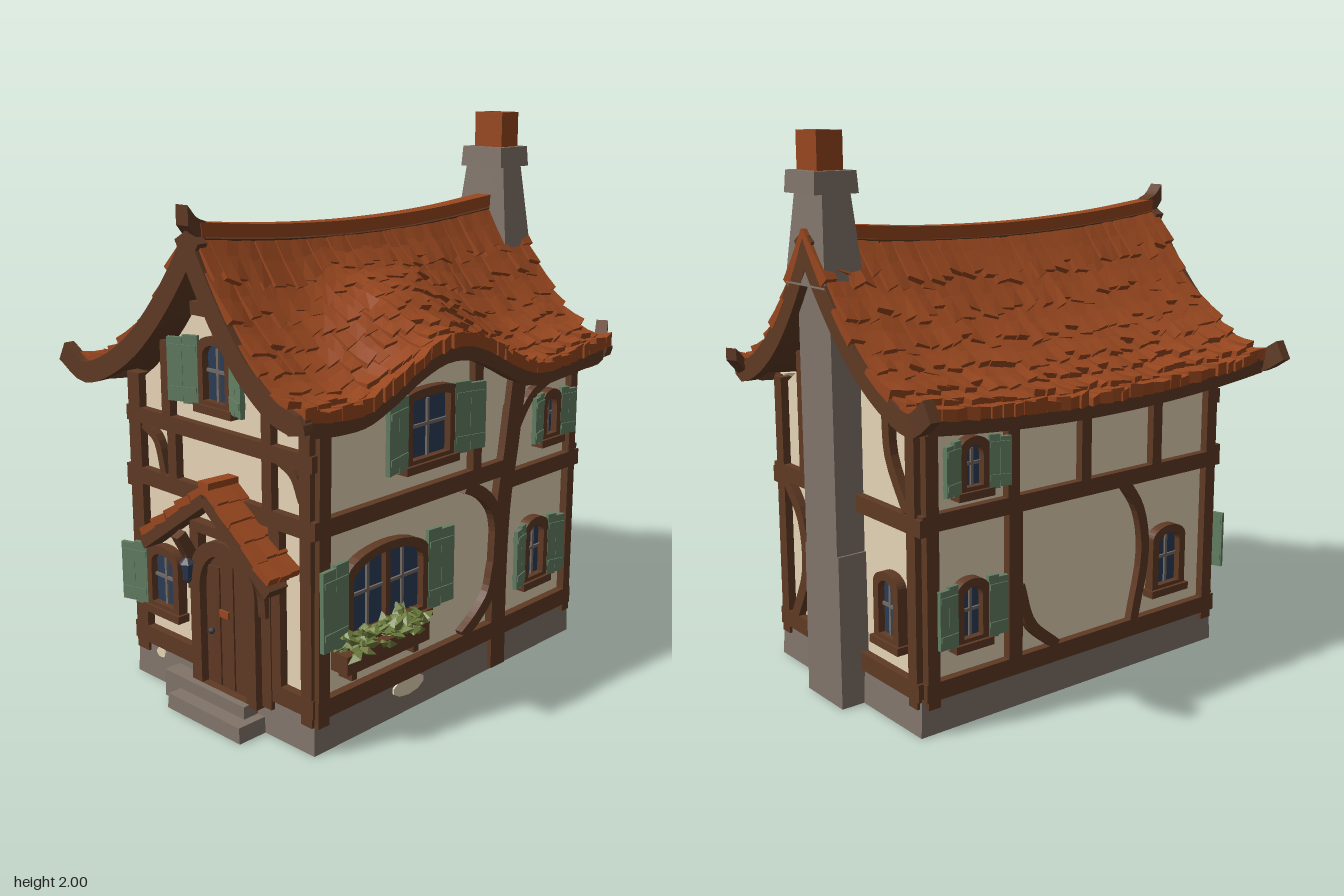
import * as THREE from 'three';
import { mergeGeometries } from 'three/addons/utils/BufferGeometryUtils.js';

const mat = (name, color) => { const m = new THREE.MeshStandardMaterial({ color }); m.name = name; return m; };
const M = {
  tile: mat('clay tile', 0x98471f), wood: mat('timber', 0x5f3a24), plaster: mat('plaster', 0xe6d5b6),
  stone: mat('stone', 0x81746a), green: mat('shutter green', 0x637f63), glass: mat('window glass', 0x2b3c57),
  bar: mat('glazing bar', 0x736a64), leaf: mat('leaves', 0x70803f), door: mat('door wood', 0x5f3824), iron: mat('iron', 0x3a3d46),
};
const V = (x, y, z = 0) => new THREE.Vector3(x, y, z);

let seed = 7;
const rnd = () => (seed = (seed * 16807) % 2147483647) / 2147483647;
const jit = (a) => (rnd() - 0.5) * 2 * a;

// faceted normals
function flat(g) {
  const f = g.index ? g.toNonIndexed() : g;
  f.computeVertexNormals();
  return f;
}
function add(parent, name, geo, material, x = 0, y = 0, z = 0) {
  const m = new THREE.Mesh(geo, material);
  m.name = name;
  m.position.set(x, y, z);
  parent.add(m);
  return m;
}
// move every vertex of a geometry by a rule
function bend(g, rule) {
  const p = g.attributes.position;
  for (let i = 0; i < p.count; i++) {
    const v = rule(p.getX(i), p.getY(i), p.getZ(i));
    p.setXYZ(i, v.x, v.y, v.z);
  }
  return flat(g);
}
// rectangular bar swept along a path; w across the path, d along "out"
function sweep(pts, w, d, out = V(0, 0, 1)) {
  const n = pts.length === 2 ? 1 : pts.length * 3;
  const curve = pts.length === 2 ? new THREE.LineCurve3(...pts) : new THREE.CatmullRomCurve3(pts);
  return bend(new THREE.BoxGeometry(1, 1, 1, 1, 1, n), (a, b, c) => {
    const u = c + 0.5, T = curve.getTangent(u);
    const side = out.clone().cross(T).normalize();
    return curve.getPoint(u).addScaledVector(side, a * w).addScaledVector(out, b * d);
  });
}
// block standing on y, narrowing to its top
const block = (w, h, d, taper = 1) => bend(new THREE.BoxGeometry(w, h, d), (x, y, z) => {
  const k = y > 0 ? taper : 1;
  return V(x * k, y + h / 2, z * k);
});
// arched opening outline standing on y0
function arch(w, h, rise, y0 = 0, Kind = THREE.Shape) {
  const s = new Kind();
  s.moveTo(-w / 2, y0);
  s.lineTo(w / 2, y0);
  s.lineTo(w / 2, y0 + h - rise);
  s.absellipse(0, y0 + h - rise, w / 2, rise, 0, Math.PI, false);
  s.closePath();
  return s;
}
const extrude = (s, depth) => flat(new THREE.ExtrudeGeometry(s, { depth, bevelEnabled: false, curveSegments: 8 }));
function archRing(w, h, rise, t, depth, foot = t) {
  const s = arch(w, h, rise);
  s.holes.push(arch(w - 2 * t, h - t - foot, Math.max(0.005, rise - t * 0.3), foot, THREE.Path));
  return extrude(s, depth);
}

// roof surface: side s, position z, t from ridge (0) to eave (1), lifted along the normal
const RX = 0.09, ZC = 0.02, ZL = 1.6;
const span = (s) => (s > 0 ? 0.515 : 0.64);
const drop = (t) => 0.52 * (1 - Math.pow(Math.max(0, 1 - t), 1.9)) + Math.max(0, t - 1) * 0.1;
const ridgeY = (z) => 1.628 + 0.05 * (z / 0.8) ** 2;
function roofAt(s, z, t, lift = 0) {
  const dz = Math.min(1, Math.abs(z - 0.12) / 0.52);
  const bump = s > 0 ? 0.18 * Math.cos(dz * Math.PI / 2) ** 2 * THREE.MathUtils.smoothstep(t, 0, 0.6) : 0;
  const nx = s * Math.pow(Math.max(0, 1 - t), 0.9), ny = span(s), l = Math.hypot(nx, ny);
  return V(RX + s * span(s) * t + nx / l * lift, ridgeY(z) - drop(t) + bump + ny / l * lift, z);
}
function buildRoof(root) {
  const roof = new THREE.Group(); roof.name = 'roof'; root.add(roof);
  const tiles = [], ROWS = 7, COLS = 34;
  for (const s of [1, -1]) {
    const deck = new THREE.BoxGeometry(1, 1, 1, 24, 12, 1);
    add(roof, 'roofDeck', bend(deck, (a, b, c) => roofAt(s, ZC + s * a * ZL, b + 0.5, c > 0 ? 0 : -0.04)), M.wood);
    for (let r = 0; r < ROWS; r++) for (let k = 0; k < COLS; k++) {
      const t0 = r / ROWS, t1 = Math.min(1.02, (r + 1.3) / ROWS + jit(0.04)), w = ZL / COLS;
      const zc = ZC + (k + 0.5 - COLS / 2) * w + (r % 2 ? 0.006 : -0.006) + jit(0.006);
      const up = 0.012 + rnd() * 0.02, skew = jit(0.03), tilt = jit(0.008);
      // two segments so each long shingle follows the curve
      tiles.push(bend(new THREE.BoxGeometry(1, 1, 1, 1, 2, 1), (a, b, c) =>
        roofAt(s, zc + s * a * w * 1.04, t0 + (b + 0.5) * (t1 - t0 + a * skew), c > 0 ? 0.01 + (up + a * tilt) * (b + 0.5) : -0.01)));
    }
    // bargeboards on both gables, with upturned tips
    for (const z of [0.815, -0.765]) {
      const pts = [0, 0.15, 0.35, 0.55, 0.78, 0.95].map((t) => roofAt(s, z, t, -0.03));
      pts.push(s < 0 ? V(-0.62, 1.19, z * 1.01) : V(0.58, z > 0 ? 1.11 : 1.15, z));
      add(roof, 'bargeboard', sweep(pts, 0.075, 0.04), M.wood);
    }
    // eave trim following the wavy edge
    const edge = [];
    for (let i = 0; i <= 12; i++) edge.push(roofAt(s, 0.8 - i * 0.128, 0.96, -0.04));
    if (s > 0) edge.push(V(0.53, 1.2, -0.84));
    add(roof, 'eaveTrim', sweep(edge, 0.045, 0.045, V(0, 1, 0)), M.wood);
  }
  add(roof, 'shingles', mergeGeometries(tiles), M.tile);
  const line = [0.8, 0.5, 0.1, -0.3, -0.65].map((z) => V(RX, ridgeY(z) + 0.005, z));
  add(roof, 'ridgeCap', sweep(line, 0.065, 0.045, V(0, 1, 0)), M.tile);
  add(roof, 'ridgeHorn', sweep([V(RX, 1.675, 0.78), V(RX, 1.69, 0.815), V(RX, 1.73, 0.85)], 0.06, 0.065, V(0, 1, 0)), M.wood);
}

// window on a wall group: x centre, y bottom, w by h outer size
function addWindow(wall, x, y, w, h, { rise = 0.05, panes = 1, sw = 0.1, sides = [-1, 1], open = 0.25 } = {}) {
  const g = new THREE.Group(); g.name = 'window'; g.position.set(x, y, 0); wall.add(g);
  const t = 0.03, iw = w - 2 * t, ih = h - 2 * t;
  add(g, 'windowFrame', archRing(w, h, rise, t, 0.038), M.wood);
  add(g, 'windowGlass', flat(new THREE.ShapeGeometry(arch(iw, ih, Math.max(0.005, rise - 0.01), t), 8)), M.glass, 0, 0, 0.012);
  for (let i = 0; i < panes; i++) {
    const px = (i + 0.5 - panes / 2) * iw / panes;
    add(g, 'glazingBar', block(0.011, ih - 0.012, 0.008), M.bar, px, t, 0.017);
    if (i) add(g, 'mullion', block(0.022, ih, 0.02), M.wood, px - iw / panes / 2, t, 0.022);
  }
  add(g, 'glazingBar', block(iw, 0.011, 0.008), M.bar, 0, h * 0.5, 0.017);
  add(g, 'windowSill', block(w + 0.02, 0.028, 0.05), M.wood, 0, -0.012, 0.025);
  for (const s of sides) {
    const hinge = new THREE.Group(); hinge.name = 'shutter';
    hinge.position.set(s * (w / 2 - 0.005), 0, 0.032); hinge.rotation.y = -s * open; g.add(hinge);
    for (let i = 0; i < 2; i++) add(hinge, 'shutterBoard', block(sw * 0.49, h * 0.93 - i * 0.015, 0.016), M.green, s * sw * (0.25 + i * 0.5), 0.01 + i * 0.006, 0);
    for (const f of [0.18, 0.75]) add(hinge, 'shutterBatten', block(sw * 0.9, 0.022, 0.024), M.green, s * sw / 2, h * f, 0);
  }
}
// wall group: local x runs rightward seen from outside, z points out
function makeWall(root, name, x, z, turn, timbers) {
  const g = new THREE.Group(); g.name = name; g.position.set(x, 0, z); g.rotation.y = turn; root.add(g);
  const geos = timbers.map(([w, ...p]) => sweep(p.map(([a, b]) => V(a, b, 0.008)), w, 0.045));
  add(g, name + 'Timbers', mergeGeometries(geos), M.wood);
  return g;
}

function buildPorch(front) {
  const p = new THREE.Group(); p.name = 'porch'; front.add(p);
  add(p, 'doorSurround', archRing(0.33, 0.55, 0.15, 0.05, 0.06, 0.01), M.wood, 0.14, 0.09, 0);
  add(p, 'doorLeaf', extrude(arch(0.23, 0.49, 0.11), 0.03), M.door, 0.14, 0.1, 0);
  for (const x of [0.07, 0.14, 0.21]) add(p, 'doorPlank', block(0.06, x === 0.14 ? 0.47 : 0.43, 0.008), M.door, x, 0.105, 0.032);
  add(p, 'doorPlate', block(0.045, 0.025, 0.008), M.tile, 0.13, 0.365, 0.041);
  add(p, 'doorHandle', new THREE.SphereGeometry(0.012, 8, 6), M.iron, 0.065, 0.3, 0.045);
  add(p, 'lowerStep', block(0.38, 0.055, 0.14, 0.97), M.stone, 0.12, 0, 0.07);
  add(p, 'upperStep', block(0.42, 0.1, 0.09), M.stone, 0.06, 0, 0.04);
  const apex = V(0.145, 0.845, 0.06), tiles = [];
  for (const end of [V(0.45, 0.6, 0.06), V(-0.19, 0.61, 0.06)]) {
    for (let i = 0; i < 5; i++) for (let k = 0; k < 3; k++) {
      const a = apex.clone().lerp(end, i / 5), b = apex.clone().lerp(end, (i + 1.15) / 5);
      b.y += 0.012 + jit(0.006);
      a.z = b.z = 0.02 + k * 0.045 + jit(0.004);
      tiles.push(sweep([a, b], 0.028, 0.045));
    }
    const low = V(0, -0.035, 0.035);
    add(p, 'porchRafter', sweep([apex.clone().add(low), end.clone().add(low)], 0.04, 0.08), M.wood);
  }
  tiles.push(sweep([V(0.145, 0.85, -0.01), V(0.145, 0.855, 0.13)], 0.05, 0.03, V(0, 1, 0)));
  add(p, 'porchTiles', mergeGeometries(tiles), M.tile);
  add(p, 'porchCollar', sweep([V(0.02, 0.685, 0.07), V(0.27, 0.685, 0.07)], 0.035, 0.04), M.wood);
  for (const x of [-0.03, 0.33]) {
    add(p, 'porchPost', block(0.045, 0.56, 0.04), M.wood, x, 0.1, 0.015);
    add(p, 'porchBracket', sweep([V(x, 0.43, 0.03), V(x, 0.52, 0.04), V(x, 0.64, 0.1)], 0.04, 0.035, V(1, 0, 0)), M.wood);
  }
  // hanging lantern
  add(p, 'lanternArm', block(0.01, 0.05, 0.01), M.iron, -0.02, 0.55, 0.075);
  add(p, 'lanternCap', flat(new THREE.ConeGeometry(0.03, 0.025, 6)), M.iron, -0.02, 0.545, 0.075);
  add(p, 'lanternGlass', flat(new THREE.CylinderGeometry(0.022, 0.015, 0.055, 6)), M.glass, -0.02, 0.505, 0.075);
  add(p, 'lanternBase', flat(new THREE.CylinderGeometry(0.017, 0.01, 0.015, 6)), M.iron, -0.02, 0.47, 0.075);
}

export function createModel() {
  const root = new THREE.Group(); root.name = 'cottage';
  // plastered body with curved gables
  const body = new THREE.Shape();
  body.moveTo(-0.37, 0.05); body.lineTo(0.53, 0.05);
  for (let i = 8; i >= -8; i--) {
    const s = i > 0 ? 1 : -1, t = Math.abs(i) / 8 * (s > 0 ? 0.854 : 0.719);
    body.lineTo(RX + s * span(s) * t, 1.57 - drop(t));
  }
  body.closePath();
  add(root, 'plasterWalls', extrude(body, 1.35), M.plaster, 0, 0, -0.64);
  add(root, 'foundation', block(0.93, 0.135, 1.4, 0.99), M.stone, 0.08, 0, 0.035);

  const front = makeWall(root, 'frontWall', 0, 0.71, 0, [
    [0.065, [-0.345, 0.1], [-0.345, 1.14]], [0.05, [0.515, 0.1], [0.515, 1.1]],
    [0.055, [-0.39, 0.99], [0.55, 0.99]], [0.06, [-0.4, 0.77], [0.55, 0.77]], [0.065, [-0.38, 0.165], [0.545, 0.165]],
    [0.045, [-0.02, 1.41], [0.2, 1.41]], [0.04, [0.1, 1.41], [0.1, 1.6]],
    [0.045, [-0.165, 1], [-0.165, 1.28]], [0.045, [0.34, 1], [0.34, 1.24]],
    [0.045, [-0.14, 0.78], [-0.14, 0.98]], [0.045, [0.34, 0.78], [0.34, 0.98]], [0.05, [0.37, 0.17], [0.37, 0.76]],
    [0.03, [-0.3, 0.96], [-0.23, 0.92], [-0.19, 0.8]], [0.03, [0.38, 0.98], [0.46, 0.94], [0.5, 0.86]],
    [0.04, [-0.37, 0.5], [-0.26, 0.56], [-0.12, 0.65]],
  ]);
  addWindow(front, 0.1, 1.08, 0.17, 0.25, { sw: 0.115, open: 0.4 });
  addWindow(front, -0.21, 0.28, 0.18, 0.25, { sides: [-1], sw: 0.11, open: 0.3 });
  buildPorch(front);

  const right = makeWall(root, 'rightWall', 0.53, 0, Math.PI / 2, [
    [0.05, [-0.705, 0.1], [-0.69, 1.13]], [0.04, [0.625, 0.1], [0.625, 1.1]], [0.065, [-0.73, 0.16], [0.65, 0.16]],
    [0.06, [-0.74, 0.775], [0.25, 0.775]], [0.06, [0.2, 0.72], [0.67, 0.72]],
    [0.08, [0.2, 0.01], [0.2, 0.4], [0.215, 0.65], [0.25, 0.85], [0.29, 1.12]],
    [0.045, [0.0, 0.75], [0.1, 0.7], [0.17, 0.62], [0.195, 0.5]], [0.045, [0.18, 0.42], [0.15, 0.31], [0.08, 0.24], [0, 0.19]],
    [0.045, [0.055, 0.79], [0.055, 1.2]], [0.035, [0.27, 0.9], [0.36, 1.01], [0.52, 1.08]], [0.045, [0.27, 1.08], [0.65, 1.08]],
  ]);
  // wall rising under the lifted eave
  const lift = new THREE.Shape();
  lift.moveTo(-0.7, 1); lift.lineTo(0.64, 1);
  for (let i = 0; i <= 20; i++) { const x = 0.64 - i * 0.067; lift.lineTo(x, roofAt(1, -x, 0.854).y - 0.045); }
  add(right, 'liftedWall', extrude(lift, 0.03), M.plaster, 0, 0, -0.026);
  addWindow(right, -0.2, 0.88, 0.25, 0.27, { rise: 0.02, sw: 0.13 });
  addWindow(right, -0.405, 0.35, 0.4, 0.31, { rise: 0.08, panes: 2, sw: 0.125, open: 0.08 });
  addWindow(right, 0.48, 0.82, 0.12, 0.2, { sw: 0.075 });
  addWindow(right, 0.41, 0.28, 0.15, 0.26, { sw: 0.08 });
  // bare patches of render on the footing
  const patch = flat(new THREE.CylinderGeometry(1, 1, 0.008, 10).rotateX(Math.PI / 2));
  add(right, 'renderPatch', patch, M.plaster, -0.28, 0.095, 0.014).scale.set(0.08, 0.035, 1);
  add(front, 'renderPatch', patch, M.plaster, -0.25, 0.11, 0.021).scale.set(0.025, 0.018, 1);
  // flower box
  const box = new THREE.Group(); box.name = 'flowerBox'; box.position.set(-0.455, 0.27, 0.05); right.add(box);
  add(box, 'boxTrough', block(0.4, 0.065, 0.075), M.wood, 0, 0.01, 0);
  for (const x of [-0.15, 0.15]) add(box, 'boxBracket', block(0.025, 0.05, 0.06), M.wood, x, -0.025, -0.01);
  const leaves = [];
  for (let i = 0; i < 90; i++) {
    const g = new THREE.OctahedronGeometry(0.036, 0);
    g.scale(1, 0.4, 0.75).rotateZ(jit(1)).rotateY(jit(3)).translate(jit(0.18), 0.095 + jit(0.035), 0.008 + jit(0.04));
    leaves.push(flat(g));
  }
  add(box, 'boxPlants', mergeGeometries(leaves), M.leaf);

  const left = makeWall(root, 'leftWall', -0.37, 0, -Math.PI / 2, [
    [0.05, [0.69, 0.1], [0.69, 1.12]], [0.05, [-0.62, 0.1], [-0.62, 1.12]], [0.065, [-0.65, 0.16], [0.73, 0.16]],
    [0.06, [-0.66, 0.75], [0.74, 0.75]], [0.05, [-0.65, 1.09], [0.72, 1.09]],
    [0.06, [-0.27, 0.15], [-0.27, 0.75]], [0.05, [-0.28, 0.76], [-0.28, 1.1]], [0.045, [0.05, 0.76], [0.05, 1.1]], [0.045, [0.4, 0.76], [0.4, 1.1]],
    [0.04, [-0.25, 0.45], [-0.2, 0.3], [-0.08, 0.19]], [0.04, [0.24, 0.74], [0.32, 0.62], [0.35, 0.45], [0.3, 0.19]],
  ]);
  addWindow(left, -0.45, 0.82, 0.13, 0.2, { sw: 0.08, open: 0.3 });
  addWindow(left, -0.46, 0.29, 0.14, 0.24, { sw: 0.08, open: 0.08 });
  addWindow(left, 0.47, 0.27, 0.17, 0.26, { sides: [] });

  const back = makeWall(root, 'backWall', 0, -0.64, Math.PI, [
    [0.05, [-0.505, 0.1], [-0.505, 1.1]], [0.05, [0.345, 0.1], [0.345, 1.13]], [0.065, [-0.54, 0.16], [0.38, 0.16]],
    [0.06, [-0.55, 0.74], [0.4, 0.74]], [0.045, [-0.34, 0.76], [-0.34, 1.22]], [0.04, [-0.25, 0.76], [-0.25, 1.3]],
    [0.045, [-0.48, 0.72], [-0.37, 0.58], [-0.35, 0.38], [-0.44, 0.18]],
    [0.04, [0.14, 1.28], [0.2, 1.12], [0.22, 0.95], [0.32, 0.78]],
  ]);
  addWindow(back, 0.2, 0.28, 0.15, 0.26, { sides: [] });

  buildRoof(root);

  // chimney stack
  const ch = new THREE.Group(); ch.name = 'chimney'; ch.position.set(0.085, 0, -0.69); root.add(ch);
  add(ch, 'chimneyFoot', block(0.23, 0.56, 0.13, 0.96), M.stone, 0, 0, 0);
  add(ch, 'chimneyBreast', block(0.205, 1, 0.125), M.stone, 0, 0.5, 0);
  add(ch, 'chimneyShaft', block(0.255, 0.31, 0.155, 0.7), M.stone, 0, 1.49, -0.018);
  add(ch, 'chimneyCap', block(0.195, 0.075, 0.17, 0.95), M.stone, 0.005, 1.795, -0.018);
  const ring = (pts) => pts.map((p) => new THREE.Vector2(...p));
  const pot = new THREE.Shape(ring([[-0.065, -0.05], [0.065, -0.05], [0.065, 0.05], [-0.065, 0.05]]));
  pot.holes.push(new THREE.Path(ring([[-0.03, -0.02], [-0.03, 0.02], [0.03, 0.02], [0.03, -0.02]])));
  add(ch, 'chimneyPot', extrude(pot, 0.14).rotateX(-Math.PI / 2), M.tile, 0.01, 1.86, -0.018);
  return root;
}
